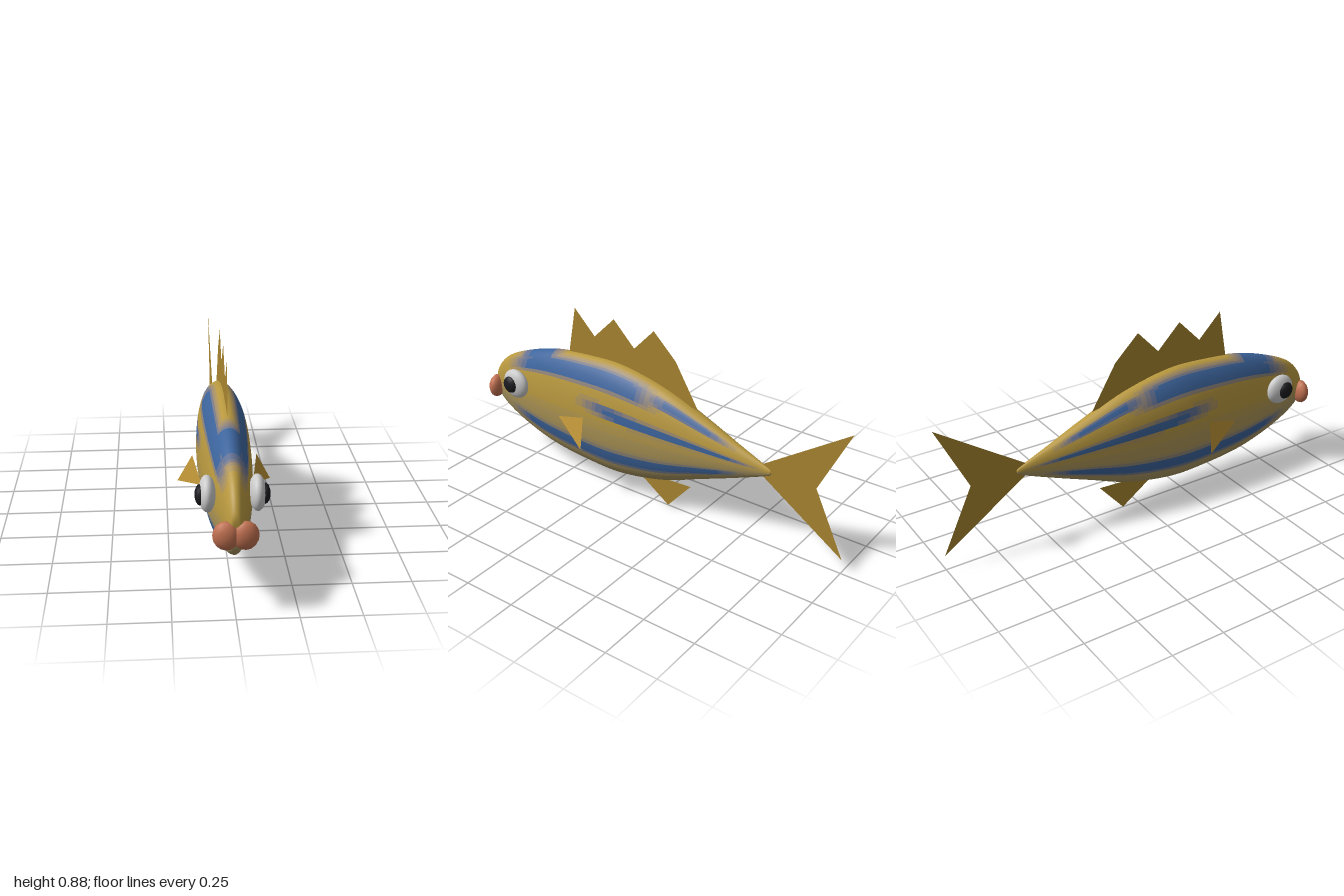
import * as THREE from 'three';

const YELLOW = new THREE.Color(0xb8983f);
const BELLY = new THREE.Color(0xa6935f);
const BLUE = new THREE.Color(0x3c649c);
const FIN = 0xa88530;

function material(color, extra = {}) {
  return new THREE.MeshStandardMaterial({ color, ...extra });
}

function addMesh(parent, name, geometry, mat) {
  const mesh = new THREE.Mesh(geometry, mat);
  mesh.name = name;
  parent.add(mesh);
  return mesh;
}

// Body stations from snout to tail root: z, top y, bottom y, half width
const STATIONS = [
  [0.975, 0.37, 0.34, 0.004],
  [0.965, 0.44, 0.285, 0.03],
  [0.89, 0.52, 0.225, 0.052],
  [0.75, 0.585, 0.165, 0.08],
  [0.58, 0.635, 0.118, 0.1],
  [0.38, 0.66, 0.096, 0.113],
  [0.17, 0.664, 0.093, 0.117],
  [-0.07, 0.615, 0.14, 0.102],
  [-0.28, 0.534, 0.22, 0.073],
  [-0.46, 0.458, 0.29, 0.04],
  [-0.61, 0.396, 0.352, 0.011],
  [-0.635, 0.378, 0.372, 0.001],
];

const smooth = THREE.MathUtils.smoothstep;
const bell = (v, centre, half) => 1 - smooth(Math.abs(v - centre), half * 0.45, half * 1.35);
const span = (z, back, front, fade) =>
  smooth(z, back - fade, back + fade) * (1 - smooth(z, front - fade, front + fade));

// Amount of blue at length z and height fraction f (0 belly, 1 back)
function stripeAmount(z, f) {
  const low = bell(f, 0.22, 0.07) * span(z, -0.45, 0.78, 0.1);
  const middle = bell(f, 0.62 + 0.04 * smooth(z, 0, 0.4), 0.055) * span(z, -0.52, 0.3, 0.12);
  const back = bell(f, 0.885, 0.085) * span(z, -0.02, 0.8, 0.1);
  const crown = smooth(f, 0.88, 0.95) * span(z, 0.55, 0.78, 0.06);
  const rear = bell(f, 0.9, 0.05) * span(z, -0.4, -0.02, 0.1);
  return Math.min(1, Math.max(low, middle, back, crown, rear));
}

// One smooth lofted skin, its faces sorted into blended stripe shades
function createBody() {
  const rows = 110, sides = 80, shades = 7;
  const outline = new THREE.CatmullRomCurve3(
    STATIONS.map(([z, top, bottom]) => new THREE.Vector3(top, bottom, z)), false, 'catmullrom', 0.5);
  const girth = new THREE.CatmullRomCurve3(
    STATIONS.map((s) => new THREE.Vector3(s[3], 0, 0)), false, 'catmullrom', 0.5);
  const positions = [], allFaces = [], shadeFaces = new Map();

  for (let i = 0; i <= rows; i++) {
    const o = outline.getPoint(i / rows), w = Math.max(0.0005, girth.getPoint(i / rows).x);
    const middle = (o.x + o.y) / 2, half = (o.x - o.y) / 2;
    for (let j = 0; j < sides; j++) {
      const a = (j / sides) * Math.PI * 2;
      positions.push(w * Math.sin(a), middle - half * Math.cos(a), o.z);
    }
  }
  for (let i = 0; i < rows; i++) {
    const z = outline.getPoint((i + 0.5) / rows).z;
    for (let j = 0; j < sides; j++) {
      const a = i * sides + j, b = i * sides + ((j + 1) % sides);
      const face = [a, a + sides, b, b, a + sides, b + sides];
      const f = (1 - Math.cos(((j + 0.5) / sides) * Math.PI * 2)) / 2;
      const blue = Math.round(stripeAmount(z, f) * (shades - 1));
      const pale = Math.round((1 - smooth(f, 0.25, 0.65)) * 3);
      const key = blue * 4 + pale;
      if (!shadeFaces.has(key)) shadeFaces.set(key, []);
      shadeFaces.get(key).push(...face);
      allFaces.push(...face);
    }
  }

  const skin = new THREE.BufferGeometry();
  skin.setAttribute('position', new THREE.Float32BufferAttribute(positions, 3));
  skin.setIndex(allFaces);
  skin.computeVertexNormals();

  const body = new THREE.Group();
  body.name = 'body';
  for (const [key, faces] of shadeFaces) {
    const part = new THREE.BufferGeometry();
    part.setAttribute('position', skin.getAttribute('position'));
    part.setAttribute('normal', skin.getAttribute('normal'));
    part.setIndex(faces);
    const color = YELLOW.clone().lerp(BELLY, (key % 4) / 3)
      .lerp(BLUE, Math.floor(key / 4) / (shades - 1));
    addMesh(body, 'bodyStripe' + key, part, material(color));
  }
  return body;
}

// Flat fin in the middle plane, outlined by [z, y] points
function addFin(parent, name, points) {
  const shape = new THREE.Shape(points.map(([z, y]) => new THREE.Vector2(z, y)));
  const geometry = new THREE.ShapeGeometry(shape).rotateY(-Math.PI / 2);
  addMesh(parent, name, geometry, material(FIN, { side: THREE.DoubleSide }));
}

function addEllipsoid(parent, name, radii, centre, color, segments) {
  const geometry = new THREE.SphereGeometry(1, segments, segments / 2).rotateZ(Math.PI / 2);
  const mesh = addMesh(parent, name, geometry, material(color));
  mesh.scale.set(...radii);
  mesh.position.set(...centre);
  return mesh;
}

export function createModel() {
  const fish = new THREE.Group();
  fish.name = 'fish';
  fish.add(createBody());

  addFin(fish, 'dorsalFin', [
    [0.5, 0.635], [0.455, 0.88], [0.34, 0.765], [0.225, 0.88], [0.11, 0.765],
    [0, 0.88], [-0.12, 0.765], [-0.245, 0.557], [-0.07, 0.59], [0.2, 0.63],
  ]);
  addFin(fish, 'tailFin', [
    [-0.58, 0.4], [-1, 0.685], [-0.853, 0.378], [-1, 0.07], [-0.58, 0.352],
  ]);
  addFin(fish, 'analFin', [[0.08, 0.115], [-0.085, 0], [-0.212, 0.147], [-0.03, 0.138]]);

  // Paired parts, left and right
  for (const [side, s] of [['left', 1], ['right', -1]]) {
    const fin = new THREE.BufferGeometry();
    fin.setAttribute('position', new THREE.Float32BufferAttribute([
      s * 0.108, 0.345, 0.49, s * 0.205, 0.274, 0.276, s * 0.14, 0.407, 0.31], 3));
    fin.setIndex(s > 0 ? [0, 1, 2] : [0, 2, 1]);
    fin.computeVertexNormals();
    addMesh(fish, side + 'PectoralFin', fin, material(0xb88f35, { side: THREE.DoubleSide }));

    addEllipsoid(fish, side + 'Eye', [0.035, 0.075, 0.074], [s * 0.1, 0.435, 0.768], 0xcccccc, 24);
    addEllipsoid(fish, side + 'Pupil', [0.022, 0.043, 0.041], [s * 0.128, 0.436, 0.78], 0x1b1b20, 16);
    const lip = addEllipsoid(fish, side + 'Lip', [0.053, 0.06, 0.035],
      [s * 0.038, 0.345, 0.96], 0xc07050, 16);
    lip.rotation.y = s * 0.12;
  }
  return fish;
}
